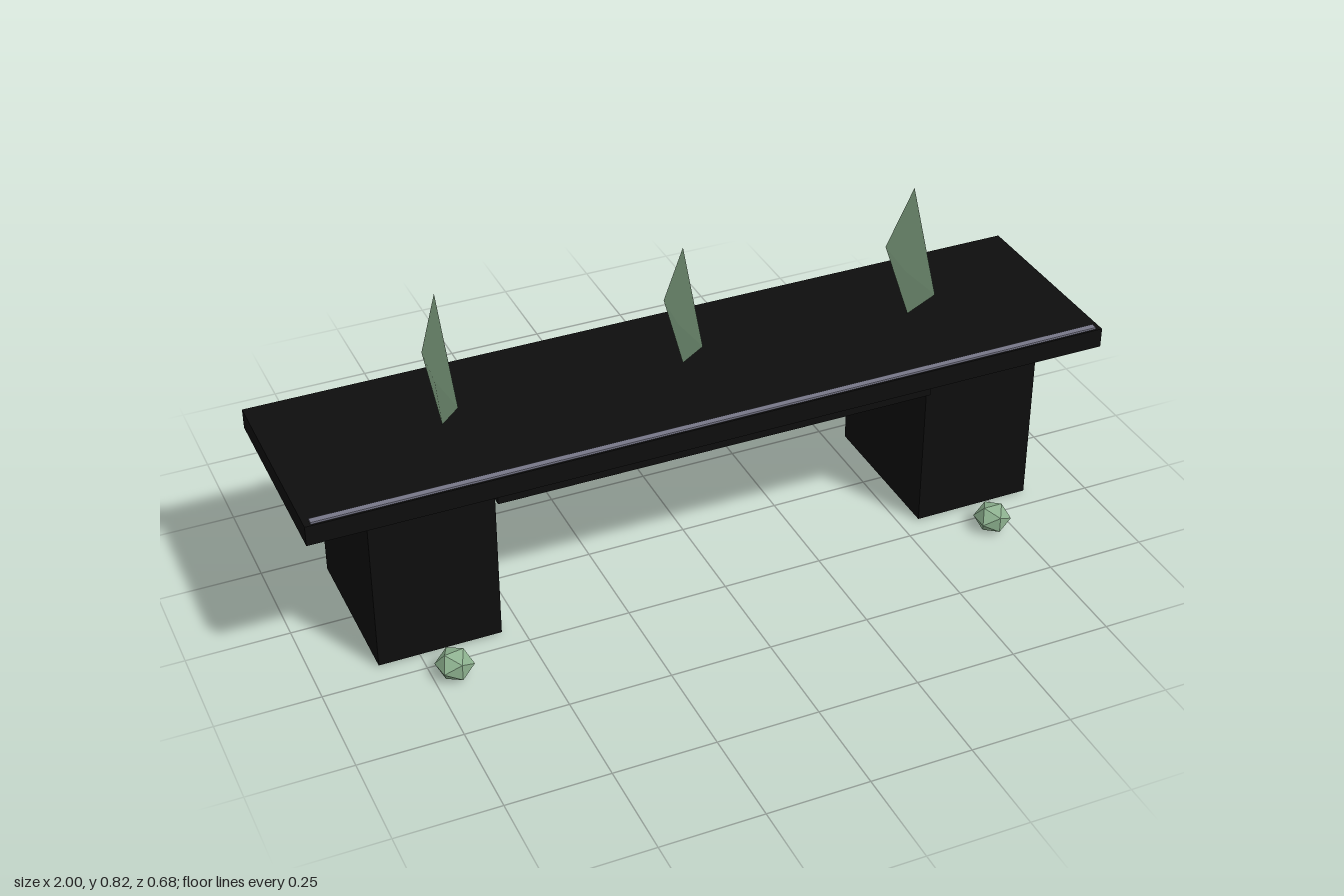
import * as THREE from 'three';

const black = new THREE.MeshStandardMaterial({ color: 0x0d0d0d });
black.name = 'black stone';
const grey = new THREE.MeshStandardMaterial({ color: 0x777788 });
grey.name = 'grey inlay';
const green = new THREE.MeshStandardMaterial({ color: 0x8cb08e });
green.name = 'pale green crystal';

export function createModel() {
  const group = new THREE.Group();

  const add = (name, geometry, material, x, y, z) => {
    const mesh = new THREE.Mesh(geometry, material);
    mesh.name = name;
    mesh.position.set(x, y, z);
    group.add(mesh);
    return mesh;
  };
  // Box given by its size and the height of its underside
  const box = (name, w, h, d, material, x, bottom, z) =>
    add(name, new THREE.BoxGeometry(w, h, d), material, x, bottom + h / 2, z);

  // Bench body
  box('seat', 2, 0.05, 0.5, black, 0, 0.425, 0);
  box('apron', 1.1, 0.04, 0.44, black, 0, 0.385, 0);
  box('leftLeg', 0.3, 0.42, 0.4, black, 0.7, 0.005, 0);
  box('rightLeg', 0.3, 0.42, 0.4, black, -0.7, 0.005, 0);
  box('frontInlay', 1.97, 0.008, 0.016, grey, 0, 0.472, 0.237);

  // Thin kite-shaped crystal: an octahedron with a long upper point
  const crystal = (name, x, size) => {
    const geometry = new THREE.OctahedronGeometry(1);
    const p = geometry.attributes.position;
    for (let i = 0; i < p.count; i++) {
      const y = p.getY(i);
      p.setXYZ(i, p.getX(i) * 0.012, y * (y > 0 ? 0.226 : 0.122), p.getZ(i) * 0.125);
    }
    geometry.scale(1, size, size);
    geometry.computeVertexNormals();
    add(name, geometry, green, x, 0.6, 0);
  };
  crystal('rightCrystal', -0.6, 1);
  crystal('middleCrystal', 0, 0.9);
  crystal('leftCrystal', 0.6, 1);

  // Small faceted stones on the ground beside the legs
  const stone = (name, x, z, height, turn) => {
    const geometry = new THREE.IcosahedronGeometry(0.046, 0);
    geometry.rotateY(turn);
    geometry.scale(1, height / 0.0782, 1);
    add(name, geometry, green, x, height / 2 + 0.002, z);
  };
  stone('frontRightStone', -0.7, 0.3, 0.068, 0.15);
  stone('frontLeftStone', 0.7, 0.3, 0.065, 0);
  stone('backLeftStone', 0.7, -0.3, 0.07, 0.1);

  return group;
}
